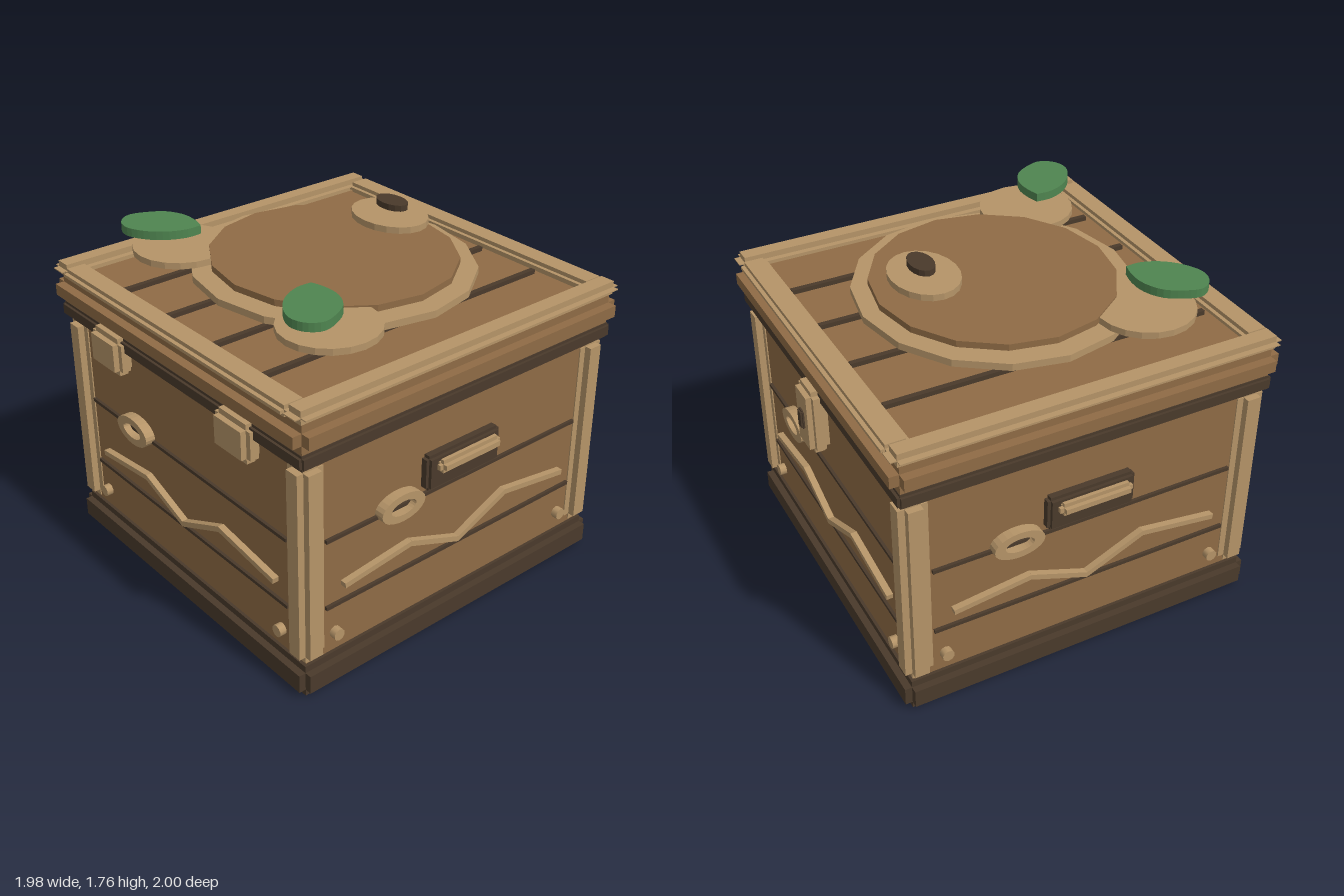
import * as THREE from 'three';
import { mergeGeometries } from 'three/addons/utils/BufferGeometryUtils.js';

const mat = (name, color) => {
  const m = new THREE.MeshStandardMaterial({ color });
  m.name = name;
  return m;
};

export function createModel() {
  const light = mat('light wood', 0xb59468);
  const brown = mat('brown wood', 0x8f6b45);
  const dark = mat('dark wood', 0x4a3a2b);
  const green = mat('green', 0x4f8550);

  const model = new THREE.Group();
  model.name = 'chest';
  const chest = new THREE.Group();
  chest.name = 'chestParts';
  chest.position.z = 0.014;
  model.add(chest);

  const add = (parent, name, geo, material, x = 0, y = 0, z = 0) => {
    const mesh = new THREE.Mesh(geo, material);
    mesh.name = name;
    mesh.position.set(x, y, z);
    parent.add(mesh);
    return mesh;
  };

  // Block with stepped edges: three crossing boxes, each full size along one axis
  const stepped = (w, h, d, b) => mergeGeometries([
    new THREE.BoxGeometry(w, h - 2 * b, d - 2 * b),
    new THREE.BoxGeometry(w - 2 * b, h, d - 2 * b),
    new THREE.BoxGeometry(w - 2 * b, h - 2 * b, d),
  ]);
  // Stepped block given by its limits on each axis
  const block = (parent, name, material, [x0, x1], [y0, y1], [z0, z1], b) =>
    add(parent, name, stepped(x1 - x0, y1 - y0, z1 - z0, b), material,
      (x0 + x1) / 2, (y0 + y1) / 2, (z0 + z1) / 2);
  const box = (parent, name, material, [x0, x1], [y0, y1], [z0, z1]) =>
    block(parent, name, material, [x0, x1], [y0, y1], [z0, z1], 0);

  // Stacked body and lid
  const both = (s) => [-s, s];
  block(chest, 'base', dark, both(0.94), [0, 0.165], both(0.94), 0.035);
  add(chest, 'body', new THREE.BoxGeometry(1.78, 1.08, 1.78), brown, 0, 0.68, 0);
  block(chest, 'darkBand', dark, both(0.94), [1.205, 1.28], both(0.94), 0.013);
  block(chest, 'lid', brown, both(0.97), [1.28, 1.43], both(0.97), 0.046);

  for (const s of [-1, 1]) {
    // Corner posts
    for (const t of [-1, 1]) {
      add(chest, 'cornerPost', stepped(0.14, 1.03, 0.14, 0.034), light, s * 0.86, 0.69, t * 0.86);
    }
    // Lid rim
    add(chest, 'sideRim', stepped(0.135, 0.065, 1.93, 0.03), light, s * 0.897, 1.4625, 0);
    add(chest, 'endRim', stepped(1.72, 0.055, 0.135, 0.02), light, 0, 1.4575, s * 0.897);
  }

  // Plank gaps on the lid
  for (const x of [-0.535, -0.18, 0.18, 0.535]) {
    add(chest, 'lidGap', new THREE.BoxGeometry(0.026, 0.025, 1.64), dark, x, 1.44, 0);
  }

  // Decoration shared by all four walls
  const ringShape = new THREE.Shape();
  ringShape.absellipse(0, 0, 0.127, 0.07, 0, Math.PI * 2);
  const hole = new THREE.Path();
  hole.absellipse(0, 0, 0.073, 0.035, 0, Math.PI * 2);
  ringShape.holes.push(hole);
  const ringGeo = new THREE.ExtrudeGeometry(ringShape, { depth: 0.06, bevelEnabled: false, curveSegments: 12 });
  const studGeo = new THREE.CylinderGeometry(0.03, 0.03, 0.05, 10).rotateX(Math.PI / 2);
  const zigzag = [[-0.685, 0.515], [-0.3, 0.56], [0, 0.448], [0.3, 0.582], [0.7, 0.525]];
  for (let i = 0; i < 4; i++) {
    const wall = new THREE.Group();
    wall.name = 'wallDecoration';
    wall.rotation.y = i * Math.PI / 2;
    chest.add(wall);
    for (const y of [0.42, 0.777]) {
      add(wall, 'plankGap', new THREE.BoxGeometry(1.56, 0.018, 0.03), dark, 0, y, 0.89);
    }
    add(wall, 'knotRing', ringGeo, light, -0.37, 0.795, 0.88);
    for (const x of [-0.725, 0.725]) add(wall, 'stud', studGeo, light, x, 0.263, 0.9);
    for (let k = 0; k < 4; k++) {
      const [ax, ay] = zigzag[k], [bx, by] = zigzag[k + 1];
      const bar = add(wall, 'zigzagBar',
        new THREE.BoxGeometry(Math.hypot(bx - ax, by - ay) + 0.008, 0.027, 0.045), light,
        (ax + bx) / 2, (ay + by) / 2, 0.9);
      bar.rotation.z = Math.atan2(by - ay, bx - ax);
    }
  }

  // Side handles
  for (const s of [-1, 1]) {
    add(chest, 'handlePlate', stepped(0.07, 0.18, 0.45, 0.016), dark, s * 0.902, 0.895, 0);
    add(chest, 'handleBar', stepped(0.058, 0.066, 0.375, 0.02), light, s * 0.96, 0.937, 0);
  }

  // Front hinges
  for (const x of [-0.497, 0.497]) {
    block(chest, 'hinge', light, [x - 0.124, x + 0.124], [1.09, 1.285], [0.885, 0.985], 0.028);
  }

  // Back latch
  block(chest, 'latch', light, both(0.09), [0.93, 1.27], [-1.0, -0.9], 0.026);
  block(chest, 'keyhole', dark, both(0.026), [1.05, 1.15], [-1.016, -0.985], 0.008);

  // Floating face discs above the lid: centre x, z, radii, height range
  const disc = (name, material, x, z, rx, rz, y0, y1, sides) => {
    const geo = new THREE.CylinderGeometry(1, 1, y1 - y0, sides).toNonIndexed();
    geo.scale(rx, 1, rz);
    geo.computeVertexNormals();
    return add(model, name, geo, material, x, (y0 + y1) / 2, z);
  };
  disc('faceBorder', light, 0, 0.008, 0.708, 0.665, 1.515, 1.55, 16);
  disc('face', brown, 0, 0.003, 0.615, 0.578, 1.56, 1.592, 16);
  disc('muzzle', light, 0, -0.35, 0.212, 0.162, 1.665, 1.697, 20);
  disc('nose', dark, 0, -0.363, 0.095, 0.058, 1.728, 1.758, 16);

  // Ears and leaf-shaped eyes
  const leaf = [[0.41, 0.47], [0.41, 0.55], [0.45, 0.64], [0.52, 0.71], [0.61, 0.75], [0.69, 0.73],
    [0.735, 0.665], [0.715, 0.585], [0.66, 0.5], [0.57, 0.455], [0.48, 0.453], [0.41, 0.47]];
  for (const s of [-1, 1]) {
    disc('ear', light, s * 0.553, 0.487, 0.237, 0.237, 1.552, 1.584, 20);
    const pts = leaf.map(([x, z]) => new THREE.Vector2(s * x, -z));
    const shape = new THREE.Shape();
    shape.moveTo(pts[0].x, pts[0].y);
    shape.splineThru(pts.slice(1));
    const geo = new THREE.ExtrudeGeometry(shape, { depth: 0.042, bevelEnabled: false, curveSegments: 3 });
    add(model, 'leafEye', geo.rotateX(-Math.PI / 2), green, 0, 1.675, 0);
  }

  return model;
}
